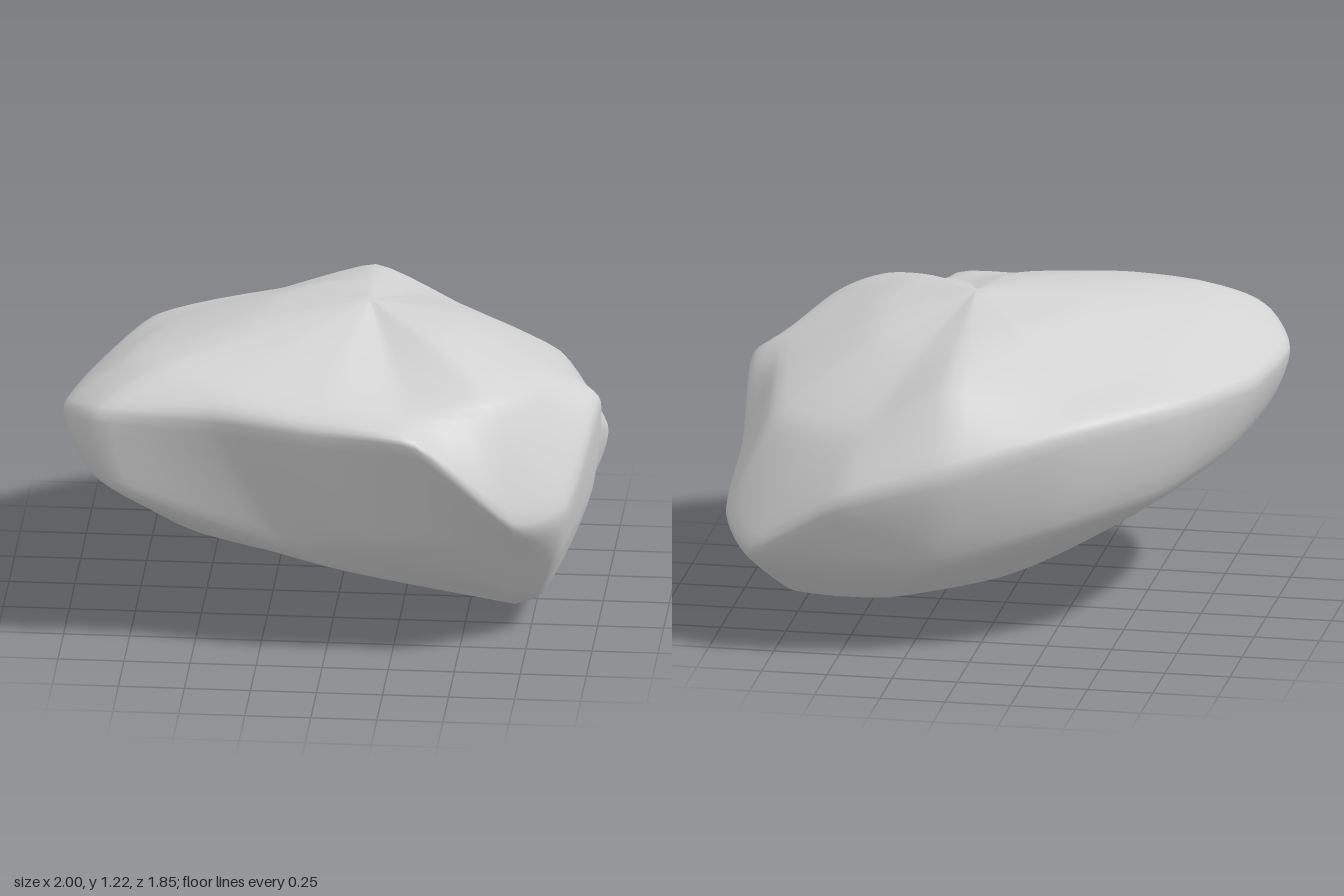
import * as THREE from 'three';

// Widest outline of the boulder, from its left (+x) round by the front
const rim = [
  [1, .87, .15], [.91, .63, .58], [.72, .62, .77], [.37, .97, .92],
  [0, .98, .85], [-.4, 1, .79], [-.85, 1, .74], [-1, .93, .48],
  [-.94, .9, .1], [-.75, .93, -.37], [-.4, .9, -.68], [.07, .78, -.9],
  [.47, .66, -.93], [.83, .43, -.79], [.97, .5, -.54], [.97, .65, -.2],
];
// Heights of the crown, halfway from the peak to the shoulder
const crown = [
  1.14, 1.17, 1.17, 1.13, 1.17, 1.185, 1.185, 1.18,
  1.17, 1.16, 1.16, 1.15, 1.09, 1.08, 1.09, 1.12,
];
// Each ring below holds [fraction of the way out to the rim, height]
const shoulder = [
  [.85, .97], [.8, 1.03], [.83, 1.045], [.8, 1.03], [.85, 1.08], [.88, 1.11], [.77, 1.13], [.78, 1.09],
  [.78, 1.06], [.78, 1.03], [.8, 1], [.77, 1.06], [.78, .9], [.75, .84], [.8, .84], [.85, .91],
];
const belly = [
  [.9, .5], [.85, .39], [.78, .43], [.7, .49], [.8, .5], [.77, .46], [.97, .7], [.95, .69],
  [.93, .61], [.93, .56], [.92, .49], [.87, .37], [.87, .37], [.88, .31], [.9, .36], [.94, .46],
];
const keel = [
  [.55, .2], [.5, .15], [.45, .17], [.45, .25], [.5, .27], [.58, .29], [.7, .43], [.7, .37],
  [.55, .2], [.5, .16], [.5, .15], [.5, .13], [.5, .13], [.5, .12], [.45, .13], [.55, .19],
];
const peak = new THREE.Vector3(.12, 1.22, .04);
const base = new THREE.Vector3(.67, 0, .06);

function between(pole, edge, [u, y]) {
  const p = pole.clone().lerp(edge, u);
  p.y = y;
  return p;
}

// Low tension keeps worn but distinct ridges
const softCurve = (points, closed) => new THREE.CatmullRomCurve3(points, closed, 'catmullrom', .28);

function boulderGeometry() {
  const rows = 36, sides = 80;
  // Profiles running from the peak down to the base
  const profiles = rim.map((r, i) => {
    const edge = new THREE.Vector3(...r);
    return softCurve([
      peak, between(peak, edge, [shoulder[i][0] / 2, crown[i]]), between(peak, edge, shoulder[i]), edge,
      between(base, edge, belly[i]), between(base, edge, keel[i]), base,
    ], false);
  });
  // Closed loops through the profiles, with one point at each pole
  const positions = [...peak.toArray()];
  for (let r = 1; r < rows; r++) {
    const loop = softCurve(profiles.map(c => c.getPoint(r / rows)), true);
    for (let s = 0; s < sides; s++) positions.push(...loop.getPoint(s / sides).toArray());
  }
  positions.push(...base.toArray());
  const last = positions.length / 3 - 1;
  const id = (r, s) => r === 0 ? 0 : r === rows ? last : 1 + (r - 1) * sides + s % sides;
  const index = [];
  for (let r = 0; r < rows; r++) {
    for (let s = 0; s < sides; s++) {
      const a = id(r, s), b = id(r, s + 1), c = id(r + 1, s), d = id(r + 1, s + 1);
      if (r > 0) index.push(a, b, c);
      if (r < rows - 1) index.push(b, d, c);
    }
  }
  const geometry = new THREE.BufferGeometry();
  geometry.setAttribute('position', new THREE.Float32BufferAttribute(positions, 3));
  geometry.setIndex(index);
  // Rest on the ground
  geometry.computeBoundingBox();
  geometry.translate(0, -geometry.boundingBox.min.y, 0);
  geometry.computeVertexNormals();
  return geometry;
}

export function createModel() {
  const group = new THREE.Group();
  group.name = 'boulder';
  const stone = new THREE.MeshStandardMaterial({ color: 0xd2d2d2 });
  stone.name = 'pale grey stone';
  const rock = new THREE.Mesh(boulderGeometry(), stone);
  rock.name = 'rock';
  group.add(rock);
  return group;
}
